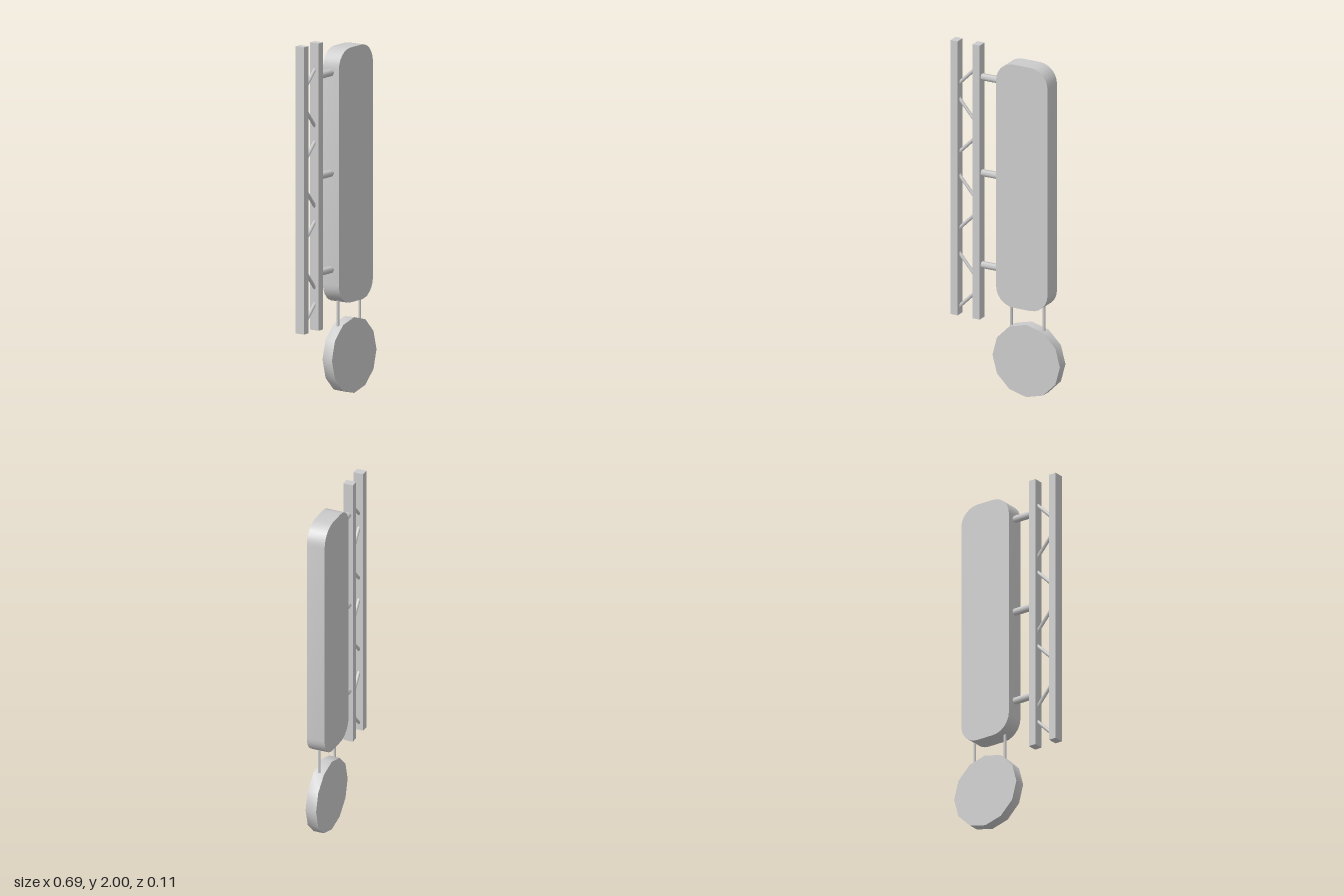
import * as THREE from 'three';
import { toCreasedNormals } from 'three/addons/utils/BufferGeometryUtils.js';

export function createModel() {
  const model = new THREE.Group();
  const material = new THREE.MeshStandardMaterial({ color: 0xcccccc });

  function add(name, geometry, x = 0, y = 0, z = 0) {
    const mesh = new THREE.Mesh(geometry, material);
    mesh.name = name;
    mesh.position.set(x, y, z);
    model.add(mesh);
    return mesh;
  }

  // Six-sided rod between two points in the z = 0 plane
  function rod(name, radius, x1, y1, x2, y2, spin = 0) {
    const dx = x2 - x1, dy = y2 - y1;
    const geometry = new THREE.CylinderGeometry(radius, radius, Math.hypot(dx, dy), 6);
    geometry.rotateY(spin);
    const mesh = add(name, geometry, (x1 + x2) / 2, (y1 + y2) / 2);
    mesh.rotation.z = Math.atan2(-dx, dy);
    return mesh;
  }

  // Sign panel: a slab with rounded corners of three facets each
  const left = -0.045, right = 0.277, bottom = 0.518, top = 1.938, r = 0.108, depth = 0.107;
  const outline = new THREE.Shape();
  outline.absarc(right - r, top - r, r, 0, Math.PI / 2);
  outline.absarc(left + r, top - r, r, Math.PI / 2, Math.PI);
  outline.absarc(left + r, bottom + r, r, Math.PI, Math.PI * 1.5);
  outline.absarc(right - r, bottom + r, r, Math.PI * 1.5, Math.PI * 2);
  const slab = new THREE.ExtrudeGeometry(outline, { depth, bevelEnabled: false, curveSegments: 3 });
  add('signPanel', toCreasedNormals(slab, 0.6), 0, 0, -depth / 2 - 0.001);

  // Hanging twelve-sided disc
  const disc = new THREE.CylinderGeometry(0.211, 0.211, 0.063, 12);
  disc.rotateX(Math.PI / 2);
  add('hangingDisc', toCreasedNormals(disc, 0.6), 0.131, 0.212, -0.001);

  // Thin hangers joining disc and panel
  for (const x of [0.021, 0.226]) rod('hanger', 0.008, x, 0.385, x, 0.57);

  // Two upright rails of the lattice mast
  for (const x of [-0.321, -0.183]) {
    add('mastRail', new THREE.BoxGeometry(0.044, 1.6, 0.057), x, 1.2, 0.001);
  }

  // Alternating diagonal braces between the rails
  [0.495, 0.696, 0.952, 1.151, 1.397, 1.598, 1.8].forEach((y, i) => {
    const rise = i % 2 === 0 ? 0.06 : -0.07;
    rod('mastBrace', 0.01, -0.312, y - rise, -0.192, y + rise, Math.PI / 6);
  });

  // Horizontal arms holding the panel to the mast
  for (const y of [0.713, 1.25, 1.81]) rod('panelArm', 0.02, -0.18, y, -0.02, y);

  return model;
}
